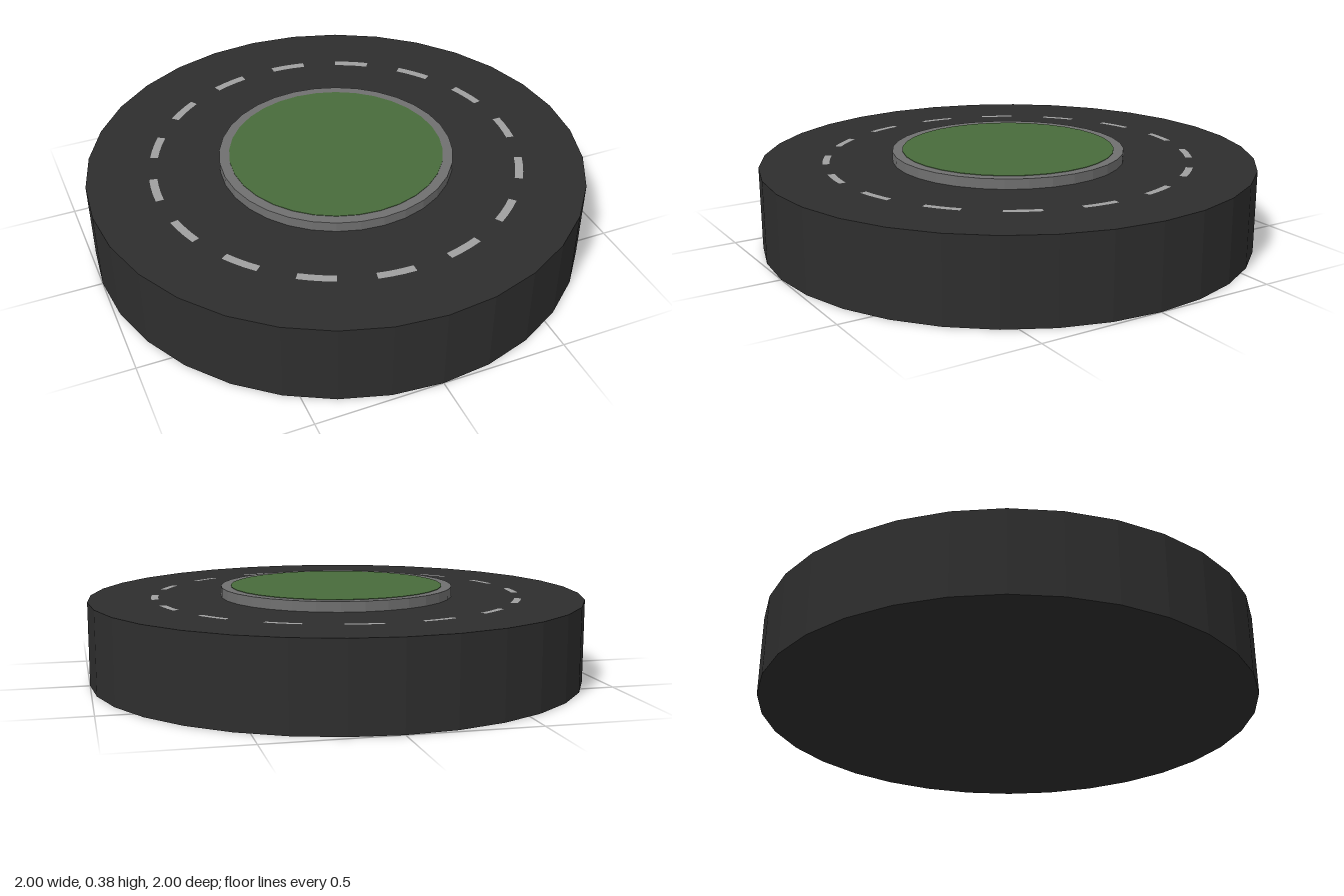
import * as THREE from 'three';

const SIDES = 32;
const ROAD_TOP = 0.333;
const CURB_TOP = 0.375;
const DASHES = 16;

const flat = (name, color, options = {}) => {
  const material = new THREE.MeshStandardMaterial({ color, ...options });
  material.name = name;
  return material;
};

export function createModel() {
  const asphalt = flat('asphalt', 0x2e2e2e, { flatShading: true });
  const concrete = flat('concrete', 0x707070, { flatShading: true });
  const grass = flat('grass', 0x486b3b, { flatShading: true });
  const paint = flat('road paint', 0xa0a0a0, { side: THREE.DoubleSide });

  const model = new THREE.Group();
  model.name = 'roundabout';

  // Solid disc standing between two heights
  const addDisc = (name, radius, bottom, top, material) => {
    const geometry = new THREE.CylinderGeometry(radius, radius, top - bottom, SIDES);
    const disc = new THREE.Mesh(geometry, material);
    disc.name = name;
    disc.position.y = (bottom + top) / 2;
    model.add(disc);
  };

  addDisc('roadSlab', 1, 0, ROAD_TOP, asphalt);
  addDisc('islandCurb', 0.47, ROAD_TOP, CURB_TOP - 0.002, concrete);
  addDisc('islandGrass', 0.43, CURB_TOP - 0.006, CURB_TOP, grass);

  // Lane dashes, each covering half of its share of the circle
  const step = (Math.PI * 2) / DASHES;
  const laneMarkings = new THREE.Group();
  laneMarkings.name = 'laneMarkings';
  const dashGeometry = new THREE.RingGeometry(0.72, 0.752, 2, 1, -step / 2, step / 2);
  dashGeometry.rotateX(-Math.PI / 2);
  for (let i = 0; i < DASHES; i++) {
    const dash = new THREE.Mesh(dashGeometry, paint);
    dash.name = 'laneDash';
    dash.position.y = ROAD_TOP + 0.002;
    dash.rotation.y = i * step;
    laneMarkings.add(dash);
  }
  model.add(laneMarkings);

  return model;
}
